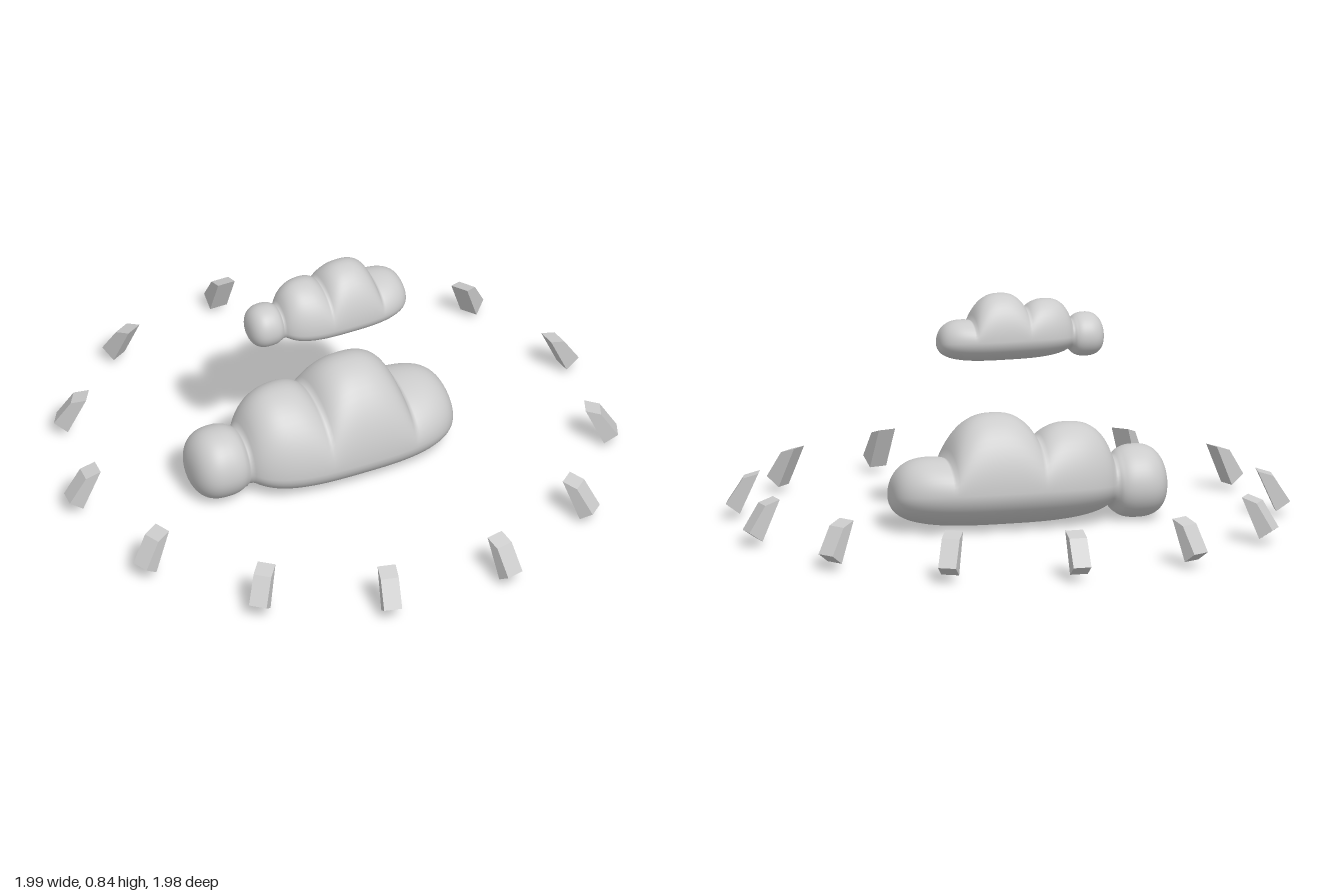
import * as THREE from 'three';

const material = new THREE.MeshStandardMaterial({ color: 0xcccccc });
const flatMaterial = new THREE.MeshStandardMaterial({ color: 0xcccccc, flatShading: true });

// Rounded bump: 1 at its centre, 0 beyond its radius
function bump(x, centre, radius, power) {
  const d = Math.min(1, Math.abs(x - centre) / radius);
  return Math.pow(1 - Math.pow(d, power), 1 / power);
}

// Puffs along the top: centre, radius, top height
const PUFFS = [
  [-0.46, 0.11, 0.268],
  [-0.215, 0.165, 0.365],
  [0.06, 0.185, 0.413],
  [0.29, 0.14, 0.265],
];
const MID = 0.13; // height of the widest line

// Cloud lofted along x from egg-shaped cross-sections
function cloudGeometry() {
  const stations = 120, sides = 48;
  const positions = [], index = [];
  for (let i = 0; i <= stations; i++) {
    const x = -0.07 - 0.5 * Math.cos((Math.PI * i) / stations);
    const top = Math.max(...PUFFS.map(([c, r, h]) => (h - MID) * bump(x, c, r, 2.4)));
    const end = bump(x, -0.46, 0.11, 2.6);
    const body = bump(x, 0.02, 0.41, 3);
    const front = Math.max(0.13 * end, 0.207 * body);
    const back = Math.max(0.135 * end, 0.19 * body);
    const bottom = 0.122 * Math.max(end, body);
    for (let j = 0; j < sides; j++) {
      const a = (2 * Math.PI * j) / sides;
      const c = Math.cos(a), s = Math.sin(a);
      const y = MID + s * (s > 0 ? top : bottom) - 0.025 * c * body;
      positions.push(x, y, c * (c > 0 ? front : back));
    }
  }
  for (let i = 0; i < stations; i++) {
    for (let j = 0; j < sides; j++) {
      const k = (j + 1) % sides;
      const a = i * sides + j, b = a + sides;
      const d = i * sides + k, c = d + sides;
      index.push(a, b, c, a, c, d);
    }
  }
  const geometry = new THREE.BufferGeometry();
  geometry.setAttribute('position', new THREE.Float32BufferAttribute(positions, 3));
  geometry.setIndex(index);
  geometry.computeVertexNormals();
  return geometry;
}

// Leaning block; the profile is drawn as distance from the centre and height
function blockGeometry() {
  const profile = new THREE.Shape([
    new THREE.Vector2(0.95, 0.028),
    new THREE.Vector2(1.0, 0.062),
    new THREE.Vector2(0.94, 0.156),
    new THREE.Vector2(0.885, 0.174),
  ]);
  const geometry = new THREE.ExtrudeGeometry(profile, { depth: 0.065, bevelEnabled: false });
  return geometry.translate(0, 0, -0.0325);
}

export function createModel() {
  const model = new THREE.Group();
  model.name = 'cloudsWithRing';

  // Large cloud and its smaller copy above
  const cloud = cloudGeometry();
  const large = new THREE.Mesh(cloud, material);
  large.name = 'largeCloud';
  const small = new THREE.Mesh(cloud, material);
  small.name = 'smallCloud';
  small.scale.setScalar(0.6);
  small.position.y = 0.596;
  model.add(large, small);

  // Ring of blocks, starting at the back
  const ring = new THREE.Group();
  ring.name = 'blockRing';
  const block = blockGeometry();
  const count = 13;
  for (let i = 0; i < count; i++) {
    const mesh = new THREE.Mesh(block, flatMaterial);
    mesh.name = `ringBlock${i + 1}`;
    mesh.rotation.y = Math.PI / 2 + (2 * Math.PI * i) / count;
    ring.add(mesh);
  }
  model.add(ring);
  return model;
}
